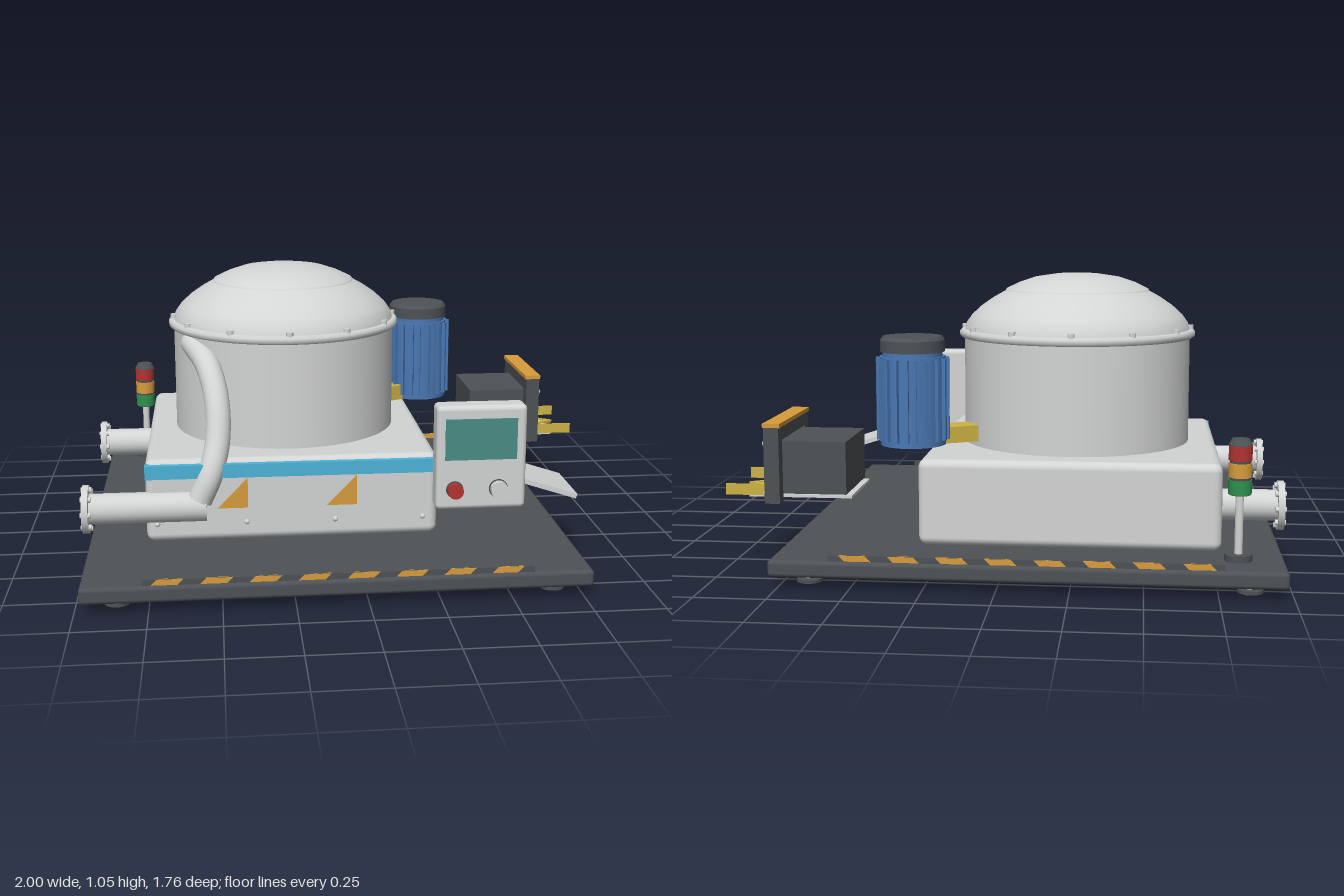
import * as THREE from 'three';
import { RoundedBoxGeometry } from 'three/addons/geometries/RoundedBoxGeometry.js';

const mat = (name, color, side = THREE.FrontSide) => {
  const m = new THREE.MeshStandardMaterial({ color, side });
  m.name = name;
  return m;
};

export function createModel() {
  const root = new THREE.Group();
  root.name = 'processingMachine';
  const light = mat('lightSteel', 0xd3d5d4, THREE.DoubleSide);
  const dark = mat('darkGrey', 0x4e5256);
  const blue = mat('motorBlue', 0x4a78b4);
  const cyan = mat('cyanTrim', 0x4cb4d8);
  const orange = mat('hazardOrange', 0xd89c3c);
  const yellow = mat('yellow', 0xcdb245);
  const teal = mat('screenTeal', 0x4a8c84);
  const red = mat('red', 0xb23430);
  const green = mat('green', 0x2f9150);

  const add = (name, geo, material, x = 0, y = 0, z = 0, parent = root) => {
    const m = new THREE.Mesh(geo, material);
    m.name = name;
    m.position.set(x, y, z);
    parent.add(m);
    return m;
  };
  // Box given by its limits on each axis; r rounds the edges
  const box = (name, material, [x0, x1], [y0, y1], [z0, z1], r = 0, parent = root) => {
    const s = [x1 - x0, y1 - y0, z1 - z0];
    const geo = r ? new RoundedBoxGeometry(...s, 3, r) : new THREE.BoxGeometry(...s);
    return add(name, geo, material, (x0 + x1) / 2, (y0 + y1) / 2, (z0 + z1) / 2, parent);
  };
  // Upright cylinder from y0 to y1
  const cyl = (name, material, r, y0, y1, x, z, parent = root, rTop = r) =>
    add(name, new THREE.CylinderGeometry(rTop, r, y1 - y0, 32), material, x, (y0 + y1) / 2, z, parent);
  const group = (name, x = 0, y = 0, z = 0) => {
    const g = new THREE.Group();
    g.name = name;
    g.position.set(x, y, z);
    root.add(g);
    return g;
  };

  // Base plate and levelling feet
  box('basePlate', dark, [-0.98, 0.78], [0.04, 0.1], [-0.88, 0.88], 0.015);
  for (const x of [-0.86, 0.66]) for (const z of [-0.76, 0.76]) {
    cyl('footPad', dark, 0.045, 0, 0.012, x, z);
    cyl('footStem', light, 0.016, 0.01, 0.045, x, z);
  }

  // Hazard strips standing on the front and rear edges
  for (const z of [-0.868, 0.868]) {
    box('hazardStrip', dark, [-0.77, 0.57], [0.1, 0.121], [z - 0.003, z + 0.003]);
    for (let i = 0; i < 8; i++) {
      const x = -0.74 + i * 0.166;
      const dash = new THREE.Shape([[0, 0], [0.09, 0], [0.11, 0.02], [0.02, 0.02]].map(p => new THREE.Vector2(...p)));
      add('hazardDash', new THREE.ExtrudeGeometry(dash, { depth: 0.009, bevelEnabled: false }), orange, x, 0.101, z - 0.0045);
    }
  }

  // Housing with cyan trim, warning triangles and bolts
  box('housing', light, [-0.77, 0.3], [0.1, 0.41], [-0.63, 0.45], 0.03);
  box('trimStrip', cyan, [-0.77, 0.3], [0.345, 0.395], [0.43, 0.47]);
  for (const x of [-0.51, -0.11]) {
    const tri = new THREE.Shape([[0, 0], [0.11, 0], [0.11, 0.113]].map(p => new THREE.Vector2(...p)));
    add('warningTriangle', new THREE.ExtrudeGeometry(tri, { depth: 0.004, bevelEnabled: false }), orange, x, 0.225, 0.45);
  }
  for (let i = 0; i < 4; i++)
    add('housingBolt', new THREE.SphereGeometry(0.01, 10, 8), light, -0.73 + i * 0.325, 0.17, 0.45);

  // Drum, clamp ring, domed lid and ring bolts
  const drum = group('drum', -0.235, 0, -0.096);
  cyl('drumBody', light, 0.43, 0.4, 0.82, 0, 0, drum).geometry = new THREE.CylinderGeometry(0.43, 0.43, 0.42, 64);
  const curve = (...p) => p.map(q => new THREE.Vector2(...q));
  add('clampRing', new THREE.LatheGeometry(curve([0.42, 0.805], [0.44, 0.805], [0.449, 0.813], [0.449, 0.827], [0.44, 0.836], [0.41, 0.836]), 64), light, 0, 0, 0, drum);
  add('lidShell', new THREE.LatheGeometry(curve([0.43, 0.83], [0.422, 0.86], [0.4, 0.89], [0.365, 0.922], [0.32, 0.953], [0.272, 0.98]), 64), light, 0, 0, 0, drum);
  add('lidCap', new THREE.LatheGeometry(curve([0.275, 0.975], [0.27, 0.987], [0.22, 1.011], [0.16, 1.031], [0.08, 1.043], [0, 1.047]), 64), light, 0, 0, 0, drum);
  for (let i = 0; i < 12; i++) {
    const a = i * Math.PI / 6;
    cyl('ringBolt', light, 0.013, 0.83, 0.85, 0.43 * Math.cos(a), 0.43 * Math.sin(a), drum);
  }

  // Finned motor and its bracket
  const motor = group('motor', 0.35, 0, -0.41);
  cyl('motorBody', blue, 0.12, 0.43, 0.755, 0, 0, motor);
  cyl('motorNeck', blue, 0.11, 0.75, 0.78, 0, 0, motor);
  cyl('motorCap', dark, 0.118, 0.772, 0.815, 0, 0, motor);
  cyl('motorCapTop', dark, 0.118, 0.815, 0.828, 0, 0, motor, 0.108);
  for (let i = 0; i < 20; i++) {
    const a = i * Math.PI / 10;
    const fin = add('motorFin', new THREE.BoxGeometry(0.025, 0.3, 0.011), blue, 0.122 * Math.cos(a), 0.6, -0.122 * Math.sin(a), motor);
    fin.rotation.y = a;
  }
  const arm = add('motorBracket', new THREE.BoxGeometry(0.26, 0.06, 0.1), yellow, 0.19, 0.46, -0.325);
  arm.rotation.y = Math.atan2(0.314, 0.585);

  // Side pipes with bolted flanges
  for (const [z, end] of [[0.445, -0.55], [-0.455, -0.75]]) {
    const pipe = group('sidePipe', 0, 0.235, z);
    const along = (name, r, x0, x1, y = 0, dz = 0) => {
      const m = add(name, new THREE.CylinderGeometry(r, r, x1 - x0, 24), light, (x0 + x1) / 2, y, dz, pipe);
      m.rotation.z = Math.PI / 2;
    };
    along('pipeBody', 0.056, -0.985, end);
    along('pipeFlange', 0.088, -0.995, -0.972);
    for (let i = 0; i < 8; i++) {
      const a = i * Math.PI / 4;
      along('flangeBolt', 0.01, -1, -0.962, 0.073 * Math.cos(a), 0.073 * Math.sin(a));
    }
  }

  // Curved hose from the drum to the front pipe
  const path = new THREE.CatmullRomCurve3([
    [-0.59, 0.77, 0.1], [-0.535, 0.71, 0.24], [-0.505, 0.6, 0.335], [-0.505, 0.47, 0.4], [-0.535, 0.35, 0.45], [-0.575, 0.26, 0.455],
  ].map(p => new THREE.Vector3(...p)));
  add('hose', new THREE.TubeGeometry(path, 40, 0.046, 20), light);
  add('hoseEnd', new THREE.SphereGeometry(0.046, 20, 12), light, -0.59, 0.77, 0.1);

  // Signal tower
  const tower = group('signalTower', -0.82, 0, -0.722);
  cyl('towerFoot', dark, 0.048, 0.1, 0.123, 0, 0, tower);
  cyl('towerPole', light, 0.014, 0.12, 0.33, 0, 0, tower);
  cyl('towerCore', dark, 0.036, 0.328, 0.5, 0, 0, tower);
  [green, orange, red].forEach((m, i) => cyl('towerLamp', m, 0.04, 0.331 + i * 0.058, 0.38 + i * 0.058, 0, 0, tower));
  cyl('towerCap', dark, 0.041, 0.5, 0.52, 0, 0, tower, 0.03);

  // Control panel
  box('controlPanel', light, [0.24, 0.555], [0.295, 0.665], [0.675, 0.762], 0.018);
  box('screen', teal, [0.27, 0.52], [0.475, 0.62], [0.758, 0.766]);
  for (const [x, m, r] of [[0.305, red, 0.027], [0.458, light, 0.03]]) {
    add('buttonRing', new THREE.CylinderGeometry(r + 0.003, r + 0.003, 0.012, 24), dark, x, 0.37, 0.762).rotation.x = Math.PI / 2;
    add('button', new THREE.CylinderGeometry(r, r, 0.035, 24), m, x, 0.37, 0.775).rotation.x = Math.PI / 2;
  }

  // Sloped discharge chute
  const chute = add('chute', new THREE.BoxGeometry(0.36, 0.018, 0.262), light, 0.62, 0.325, 0.445);
  chute.rotation.z = -Math.atan2(0.11, 0.34);

  // Side intake: tunnel, frame, tray and prongs
  box('intakeTunnel', dark, [0.56, 0.8], [0.275, 0.465], [-0.61, -0.29]);
  box('intakeTray', light, [0.54, 0.915], [0.262, 0.272], [-0.61, -0.3]);
  box('frameTop', dark, [0.79, 0.845], [0.472, 0.522], [-0.656, -0.24]);
  box('frameBottom', dark, [0.79, 0.845], [0.247, 0.262], [-0.656, -0.24]);
  for (const z of [-0.633, -0.264]) {
    box('frameSide', dark, [0.79, 0.845], [0.25, 0.5], [z - 0.024, z + 0.024]);
    for (const y of [0.28, 0.46])
      add('frameBolt', new THREE.SphereGeometry(0.011, 10, 8), light, 0.846, y, z);
  }
  box('frameCap', orange, [0.785, 0.848], [0.52, 0.535], [-0.658, -0.238]);
  for (const z of [-0.608, -0.302])
    box('prong', yellow, [0.845, 1], [0.268, 0.308], [z - 0.004, z + 0.004]);
  box('prongBar', light, [0.9, 0.915], [0.268, 0.28], [-0.605, -0.305]);
  const chevron = curve([0.88, 0.055], [0.96, 0], [0.88, -0.055], [0.895, -0.025], [0.93, 0], [0.895, 0.025]);
  add('trayArrow', new THREE.ExtrudeGeometry(new THREE.Shape(chevron), { depth: 0.012, bevelEnabled: false }), yellow, 0, 0.285, -0.455).rotation.x = Math.PI / 2;

  return root;
}
